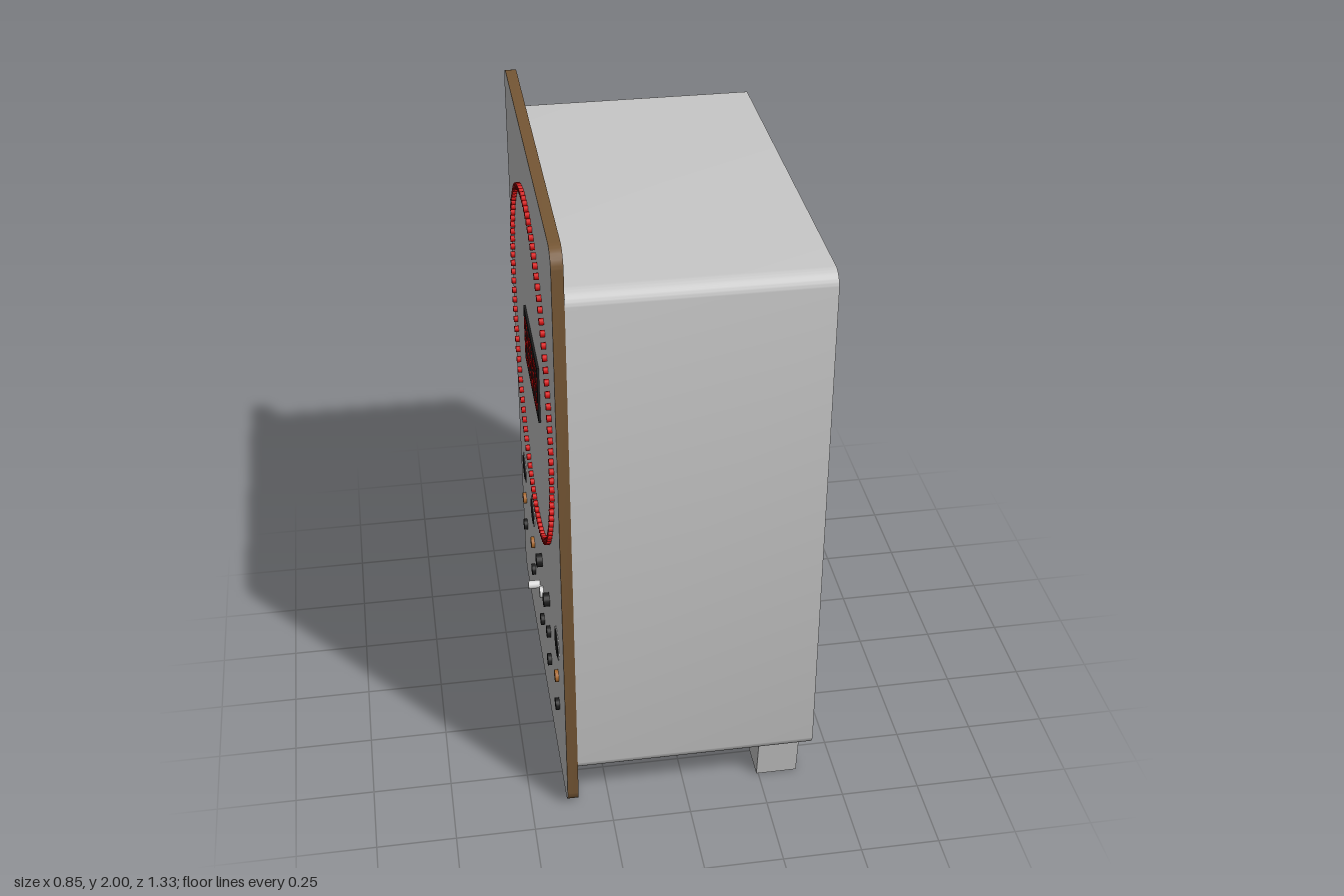
import * as THREE from 'three';
import { toCreasedNormals } from 'three/addons/utils/BufferGeometryUtils.js';

const mat = (name, color) => {
  const m = new THREE.MeshStandardMaterial({ color });
  m.name = name;
  return m;
};

// Rounded rectangle extruded from depth z0 to z1
function roundedSlab(w, y0, y1, r, z0, z1) {
  const s = new THREE.Shape(), h = w / 2;
  s.moveTo(-h + r, y0);
  s.lineTo(h - r, y0);
  s.absarc(h - r, y0 + r, r, -Math.PI / 2, 0);
  s.lineTo(h, y1 - r);
  s.absarc(h - r, y1 - r, r, 0, Math.PI / 2);
  s.lineTo(-h + r, y1);
  s.absarc(-h + r, y1 - r, r, Math.PI / 2, Math.PI);
  s.lineTo(-h, y0 + r);
  s.absarc(-h + r, y0 + r, r, Math.PI, Math.PI * 1.5);
  const g = new THREE.ExtrudeGeometry(s, { depth: z1 - z0, bevelEnabled: false, curveSegments: 8 });
  return toCreasedNormals(g.translate(0, 0, z0), 0.6);
}

export function createModel() {
  const grey = mat('casing grey', 0xc8c8c8);
  const brown = mat('panel edge brown', 0x765735);
  const black = mat('black plastic', 0x1c1c1c);
  const red = mat('lamp red', 0xd40808);
  const silver = mat('silver metal', 0xdcdcdc);
  const orange = mat('amber lens', 0xa8682c);

  const model = new THREE.Group();
  model.name = 'timerBox';
  // Work with the control panel facing local +z, then turn it to face -x
  const body = new THREE.Group();
  body.name = 'body';
  body.rotation.y = -Math.PI / 2;
  model.add(body);

  const add = (name, geo, material, x = 0, y = 0, z = 0) => {
    const m = new THREE.Mesh(geo, material);
    m.name = name;
    m.position.set(x, y, z);
    body.add(m);
    return m;
  };
  // Round part standing out of the panel between two depths
  const FACE = 0.385;
  const stud = (name, r, x, y, z0, z1, material, sides = 20) => add(name,
    new THREE.CylinderGeometry(r, r, z1 - z0, sides).rotateX(Math.PI / 2), material, x, y, (z0 + z1) / 2);

  // Casing and overhanging panel
  add('casing', roundedSlab(1.33, 0.14, 1.87, 0.05, -0.412, 0.35), grey);
  add('controlPanel', roundedSlab(1.33, 0, 2, 0.06, 0.35, FACE), [grey, brown]);

  // Two feet, tapering towards the ground
  for (const side of [-1, 1]) {
    const g = new THREE.BoxGeometry(0.17, 0.145, 0.132);
    const p = g.attributes.position;
    for (let i = 0; i < p.count; i++) if (p.getY(i) < 0) p.setX(i, p.getX(i) * 0.77);
    g.computeVertexNormals();
    add('foot', g, grey, side * 0.545, 0.0725, -0.31);
  }

  // Ring of lamps
  const CY = 1.265, COUNT = 100;
  for (let i = 0; i < COUNT; i++) {
    const a = (i / COUNT) * Math.PI * 2;
    stud('ringLamp', 0.0105, Math.cos(a) * 0.56, CY + Math.sin(a) * 0.56, FACE - 0.005, 0.399, red, 10);
  }

  // Display with three seven-segment digits
  add('display', new THREE.BoxGeometry(0.4, 0.195, 0.008), black, 0, 1.27, FACE + 0.003);
  const across = new THREE.BoxGeometry(0.062, 0.012, 0.003);
  const upright = new THREE.BoxGeometry(0.012, 0.058, 0.003);
  for (const x of [-0.13, 0, 0.13]) {
    for (const k of [-1, 0, 1]) add('digitBar', across, red, x, 1.27 + k * 0.07, FACE + 0.0075);
    for (const sx of [-1, 1]) for (const sy of [-1, 1])
      add('digitUpright', upright, red, x + sx * 0.041, 1.27 + sy * 0.035, FACE + 0.0075);
  }

  // Sockets, each with an indicator and a button below
  const ROWS = [0.53, 0.397, 0.28];
  for (const x of [-0.515, -0.24, 0.485]) {
    stud('socketRim', 0.055, x, ROWS[0], FACE - 0.01, FACE + 0.002, silver, 32);
    stud('socketHole', 0.045, x, ROWS[0], FACE - 0.01, FACE + 0.004, black, 32);
    stud('indicator', 0.02, x, ROWS[1], FACE - 0.01, 0.397, orange);
    stud('button', 0.02, x, ROWS[2], FACE - 0.01, 0.398, black);
  }

  // Two button columns
  for (const x of [0.045, 0.26]) {
    stud('largeButton', 0.023, x, ROWS[0], FACE - 0.01, 0.405, black);
    const lit = x < 0.1;
    stud(lit ? 'clearIndicator' : 'button', 0.02, x, ROWS[1], FACE - 0.01, 0.398, lit ? silver : black);
    stud('button', 0.02, x, ROWS[2], FACE - 0.01, 0.398, black);
  }

  // Toggle pin
  stud('togglePin', 0.014, -0.08, 0.335, FACE - 0.01, 0.425, silver);

  // Power inlet on the rear
  stud('powerInlet', 0.023, -0.505, 0.29, -0.421, -0.4, black);

  return model;
}
